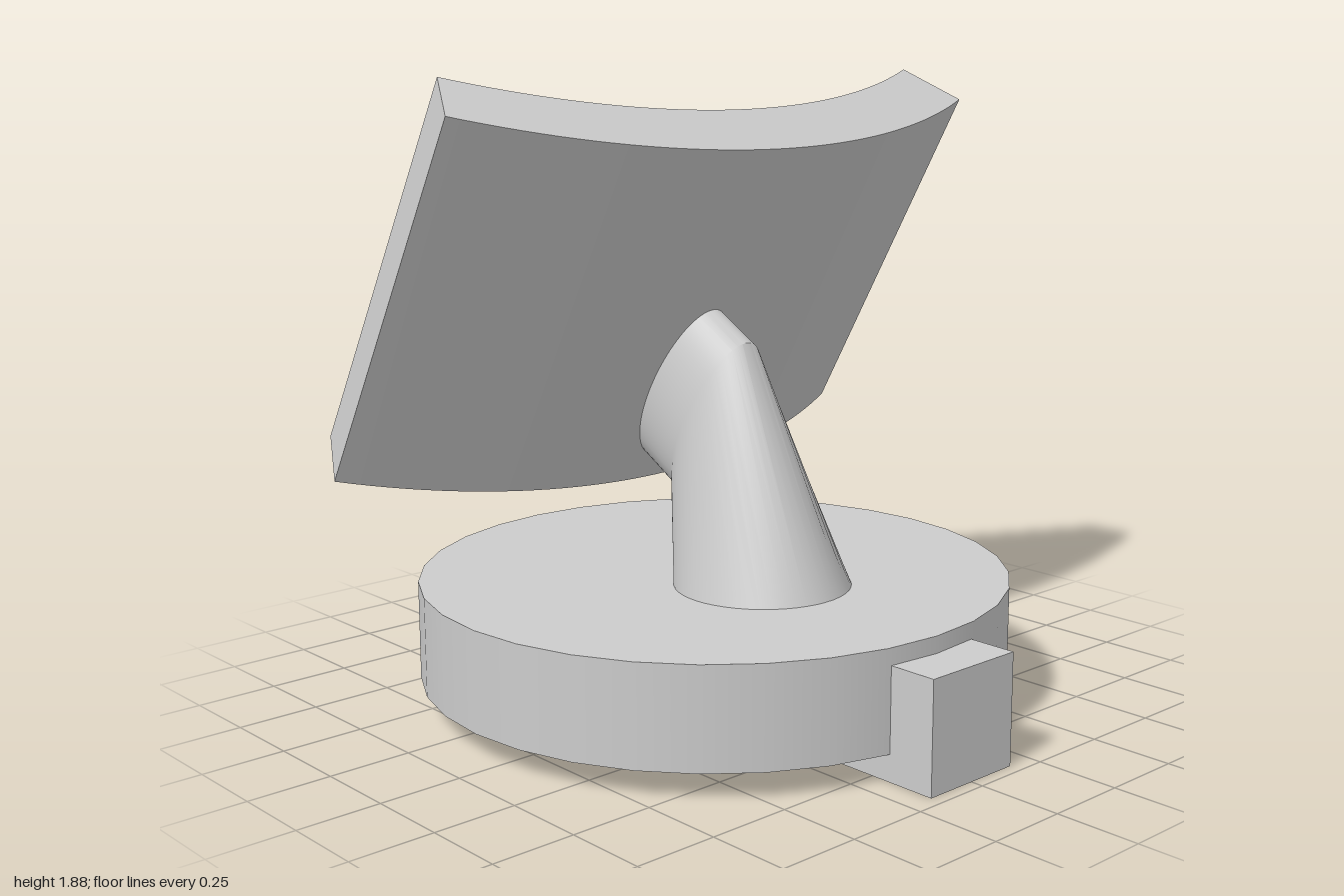
import * as THREE from 'three';
import { toCreasedNormals } from 'three/addons/utils/BufferGeometryUtils.js';

const TILT = Math.PI / 6;
const material = new THREE.MeshStandardMaterial({ color: 0xcccccc });

function part(name, geometry, x = 0, y = 0, z = 0) {
  const mesh = new THREE.Mesh(geometry, material);
  mesh.name = name;
  mesh.position.set(x, y, z);
  return mesh;
}

// Skin through rings of points; ring(j, angle) returns a Vector3
function loft(ring, rings, sides) {
  const pos = [], index = [];
  for (let j = 0; j < rings; j++)
    for (let i = 0; i < sides; i++) pos.push(...ring(j, (i / sides) * Math.PI * 2).toArray());
  for (let j = 0; j < rings - 1; j++)
    for (let i = 0; i < sides; i++) {
      const a = j * sides + i, b = j * sides + (i + 1) % sides;
      index.push(a, a + sides, b, b, a + sides, b + sides);
    }
  const g = new THREE.BufferGeometry();
  g.setAttribute('position', new THREE.Float32BufferAttribute(pos, 3));
  g.setIndex(index);
  return toCreasedNormals(g, 0.6);
}

// Curved slab: an arc band extruded along the reflector's height
function reflectorGeometry(outer, inner, half, height) {
  const shape = new THREE.Shape();
  const mid = Math.PI / 2;
  shape.absarc(0, -outer, outer, mid - half, mid + half, false);
  shape.absarc(0, -outer, inner, mid + half, mid - half, true);
  shape.closePath();
  const g = new THREE.ExtrudeGeometry(shape, { depth: height, bevelEnabled: false, curveSegments: 20 });
  g.rotateX(Math.PI / 2).translate(0, height / 2, 0);
  return toCreasedNormals(g, 0.4);
}

export function createModel() {
  const model = new THREE.Group();

  // Round base with a block at the front
  model.add(part('base', new THREE.CylinderGeometry(0.896, 0.896, 0.3, 32), 0, 0.23, -0.066));
  model.add(part('frontBlock', new THREE.BoxGeometry(0.33, 0.33, 0.325), 0, 0.165, 0.8));

  // Bent neck: round foot, oval elbow, then straight into the reflector
  const up = new THREE.Vector3(0, Math.cos(TILT), Math.sin(TILT));
  const back = new THREE.Vector3(0, Math.sin(TILT), -Math.cos(TILT));
  const neckRing = (j, t) => {
    if (j === 0) return new THREE.Vector3(0.265 * Math.cos(t), 0.38, 0.145 + 0.265 * Math.sin(t));
    const p = new THREE.Vector3(0.13 * Math.cos(t), 0.855, -0.0625);
    p.addScaledVector(up, 0.279 * Math.sin(t));
    return j === 2 ? p.addScaledVector(back, 0.25) : p;
  };
  model.add(part('neck', loft(neckRing, 3, 48), 0, 0, 0));

  // Tilted head: reflector, feed rod and receiver
  const head = new THREE.Group();
  head.name = 'head';
  head.position.set(0, 1.14, -0.09);
  head.rotation.x = TILT;
  head.add(part('reflector', reflectorGeometry(2.34, 2.13, 0.4415, 1.22)));
  const rod = new THREE.CylinderGeometry(0.037, 0.025, 0.42, 16).rotateX(Math.PI / 2);
  head.add(part('feedRod', rod, 0, 0.01, -0.405));
  head.add(part('receiver', new THREE.BoxGeometry(0.22, 0.128, 0.058), 0, 0.015, -0.637));
  model.add(head);

  return model;
}
